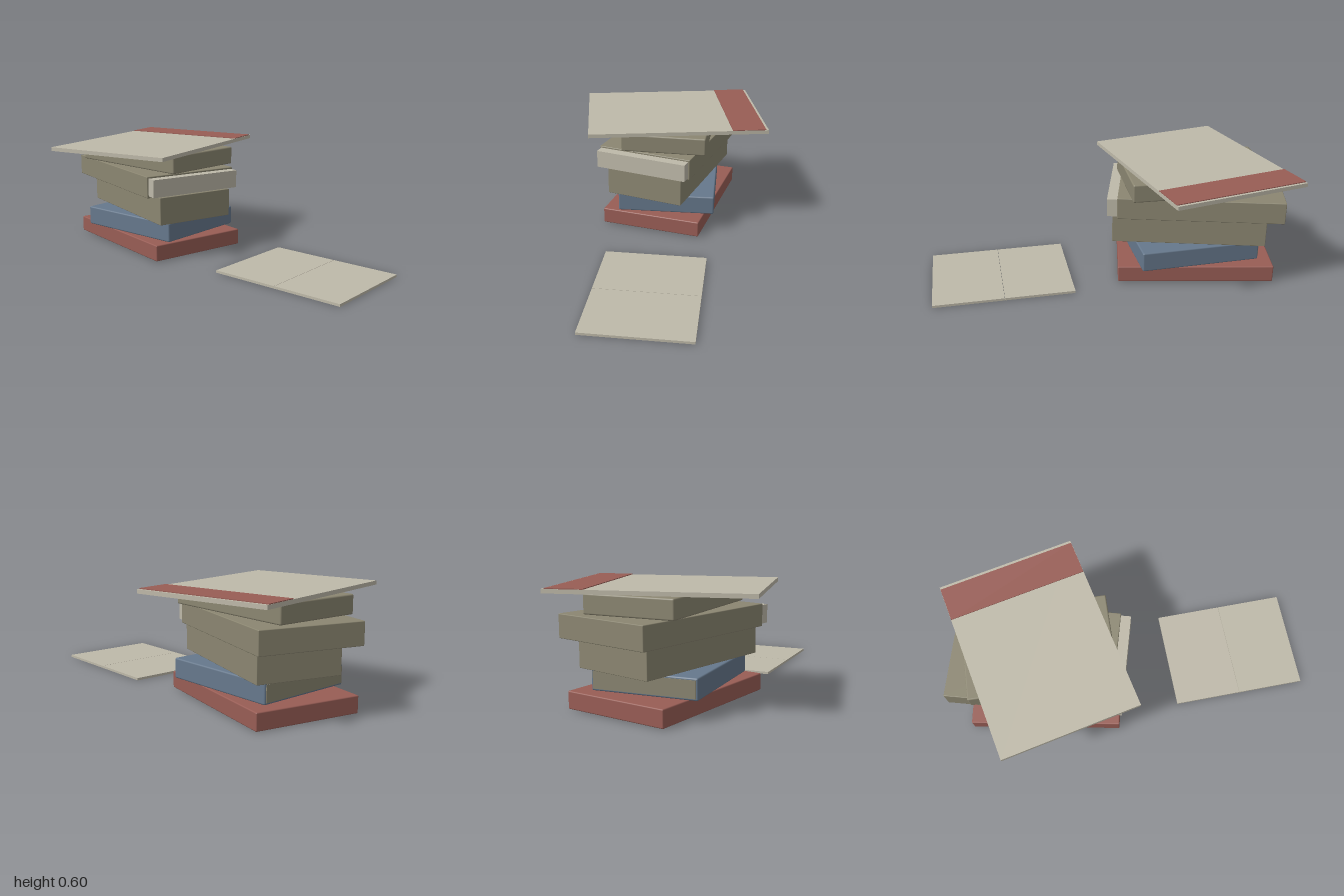
import * as THREE from 'three';
import { RoundedBoxGeometry } from 'three/addons/geometries/RoundedBoxGeometry.js';

export function createModel() {
  const model = new THREE.Group();
  model.name = 'bookStack';

  const material = (name, color) => {
    const m = new THREE.MeshStandardMaterial({ color });
    m.name = name;
    return m;
  };
  const red = material('red cover', 0x985d55);
  const blue = material('blue cover', 0x66788c);
  const olive = material('olive cover', 0x8b8671);
  const paper = material('paper', 0xbeb9a9);

  // A box spanning y0 to y1, with slightly softened edges when radius is set
  function slab(parent, name, mat, w, d, y0, y1, x = 0, z = 0, radius = 0) {
    const h = y1 - y0;
    const geometry = radius
      ? new RoundedBoxGeometry(w, h, d, 2, radius)
      : new THREE.BoxGeometry(w, h, d);
    const mesh = new THREE.Mesh(geometry, mat);
    mesh.name = name;
    mesh.position.set(x, (y0 + y1) / 2, z);
    parent.add(mesh);
    return mesh;
  }

  // A group turned about the vertical axis
  function turned(name, x, z, angle) {
    const group = new THREE.Group();
    group.name = name;
    group.position.set(x, 0, z);
    group.rotation.y = angle;
    model.add(group);
    return group;
  }

  // Stacked books, bottom to top
  const books = [
    { name: 'bottomBook', mat: red, w: 0.84, d: 0.578, y: [0.003, 0.093], x: -0.483, z: 0, turn: -0.1, r: 0.006 },
    { name: 'secondBook', mat: blue, w: 0.653, d: 0.554, y: [0.093, 0.2], x: -0.453, z: 0.002, turn: 0.12, r: 0.008 },
    { name: 'thickBook', mat: olive, w: 0.823, d: 0.449, y: [0.2, 0.353], x: -0.46, z: 0.002, turn: -0.18, r: 0.003 },
    { name: 'fourthBook', mat: olive, w: 0.88, d: 0.551, y: [0.353, 0.471], x: -0.518, z: 0.003, turn: -0.18, r: 0.004 },
    { name: 'topBook', mat: olive, w: 0.777, d: 0.476, y: [0.473, 0.572], x: -0.484, z: 0, turn: 0.063, r: 0.008 },
  ];
  const group = {};
  for (const b of books) {
    group[b.name] = turned(b.name, b.x, b.z, b.turn);
    slab(group[b.name], 'cover', b.mat, b.w, b.d, b.y[0], b.y[1], 0, 0, b.r);
  }

  // Page edges: a thin panel on the blue book, a protruding block on the fourth
  slab(group.secondBook, 'pageEdge', olive, 0.006, 0.535, 0.103, 0.19, -0.327);
  slab(group.fourthBook, 'pageBlock', paper, 0.055, 0.533, 0.364, 0.461, 0.4675);

  // Large sheet on top of the stack with a painted band near its back edge
  const board = turned('topSheet', -0.485, 0, 0.3);
  slab(board, 'sheet', paper, 0.743, 1.005, 0.573, 0.594);
  slab(board, 'band', red, 0.741, 0.187, 0.594, 0.598, 0, -0.394);

  // Open folded sheet lying on the ground beside the stack
  const folder = turned('openSheet', 0.598, -0.098, 0.1);
  for (const side of [-1, 1]) {
    slab(folder, side < 0 ? 'rightLeaf' : 'leftLeaf', paper, 0.371, 0.553, 0, 0.013, side * 0.1865);
  }

  return model;
}
